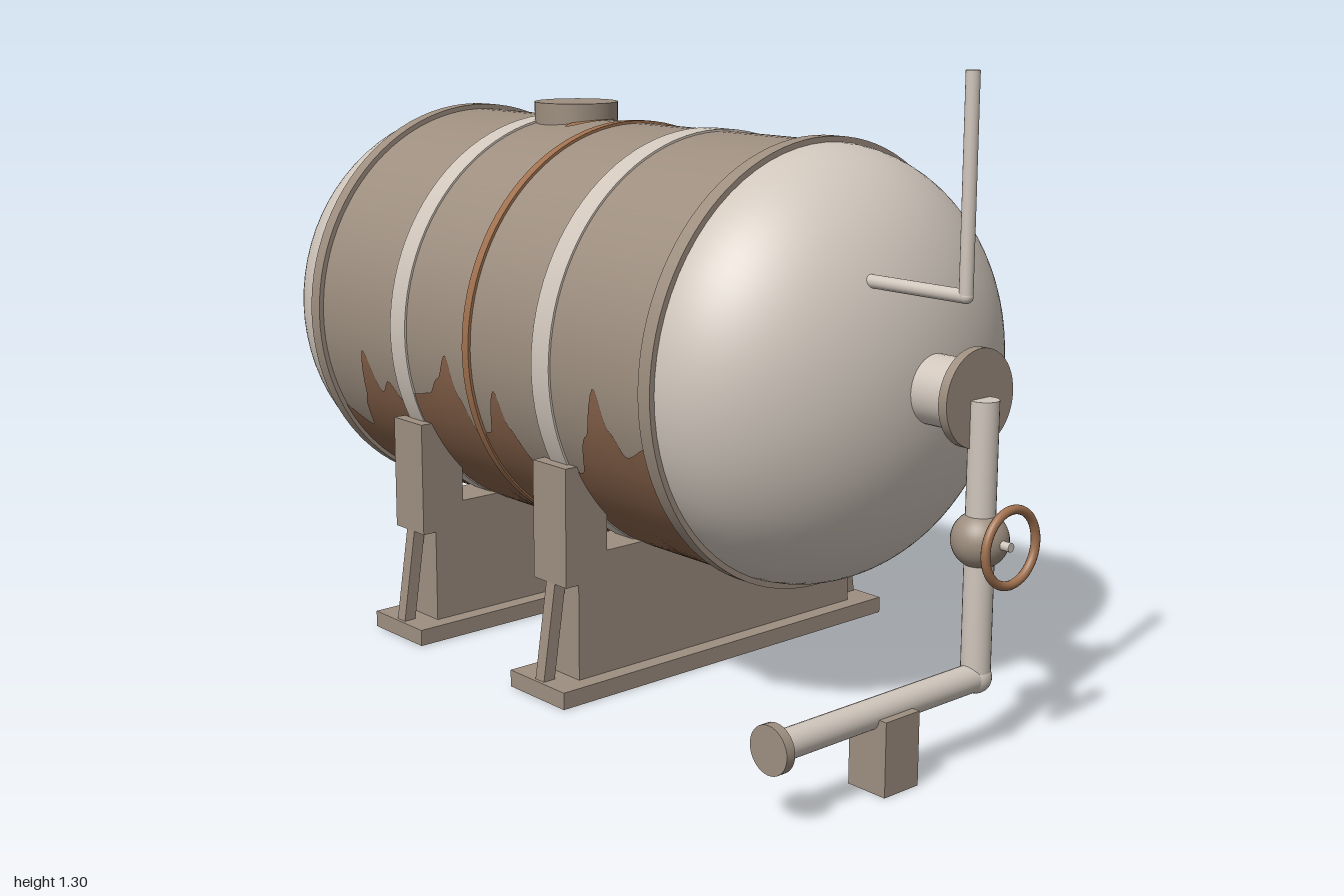
import * as THREE from 'three';

const material = (name, color) => Object.assign(new THREE.MeshStandardMaterial({ color }), { name });
const AXIS_Y = 0.69, AXIS_Z = -0.04, RADIUS = 0.45;

export function createModel() {
  const tan = material('weatheredTan', 0x9d8e7f);
  const pale = material('paleMetal', 0xd0c6bc);
  const rust = material('rustStain', 0x87624a);
  const orange = material('rustOrange', 0xa0714f);
  const model = new THREE.Group();
  model.name = 'storageTank';

  const add = (name, geometry, mat, x = 0, y = 0, z = 0, parent = model) => {
    const mesh = new THREE.Mesh(geometry, mat);
    mesh.name = name;
    mesh.position.set(x, y, z);
    parent.add(mesh);
    return mesh;
  };
  const box = (name, mat, w, h, d, x, y, z, parent) =>
    add(name, new THREE.BoxGeometry(w, h, d), mat, x, y, z, parent);
  // Round bar between two points
  const rod = (name, mat, r, from, to, segments = 28) => {
    const a = new THREE.Vector3(...from), b = new THREE.Vector3(...to);
    const mesh = add(name, new THREE.CylinderGeometry(r, r, a.distanceTo(b), segments), mat);
    mesh.position.copy(a).lerp(b, 0.5);
    mesh.quaternion.setFromUnitVectors(new THREE.Vector3(0, 1, 0), b.sub(a).normalize());
    return mesh;
  };
  const hoop = (name, mat, r, x, width) =>
    rod(name, mat, r, [x - width / 2, AXIS_Y, AXIS_Z], [x + width / 2, AXIS_Y, AXIS_Z], 96);
  // Thin skin on the shell; range(x) gives start and end angle measured from the bottom
  const skin = (name, mat, x0, x1, columns, rows, range) => {
    const pos = [], index = [], r = RADIUS + 0.002;
    for (let i = 0; i <= columns; i++) {
      const x = x0 + (x1 - x0) * i / columns;
      const [t0, t1] = range(x);
      for (let j = 0; j <= rows; j++) {
        const t = t0 + (t1 - t0) * j / rows;
        pos.push(x, AXIS_Y - r * Math.cos(t), AXIS_Z + r * Math.sin(t));
        if (i < columns && j < rows) {
          const a = i * (rows + 1) + j, b = a + rows + 1;
          index.push(a, b, a + 1, b, b + 1, a + 1);
        }
      }
    }
    const geometry = new THREE.BufferGeometry();
    geometry.setAttribute('position', new THREE.Float32BufferAttribute(pos, 3));
    geometry.setIndex(index);
    geometry.computeVertexNormals();
    return add(name, geometry, mat);
  };

  // Tank body and domed ends
  hoop('tankShell', tan, RADIUS, -0.1, 1.16);
  for (const [name, x, turn] of [['rightDome', 0.48, -1], ['leftDome', -0.68, 1]]) {
    const dome = new THREE.SphereGeometry(RADIUS, 72, 28, 0, Math.PI * 2, 0, Math.PI / 2);
    dome.scale(1, 0.32 / RADIUS, 1);
    dome.rotateZ(turn * Math.PI / 2);
    add(name, dome, pale, x, AXIS_Y, AXIS_Z);
    hoop(name + 'Rim', tan, 0.461, x + (turn > 0 ? 0.004 : 0), 0.034);
  }
  hoop('rustBand', orange, 0.456, -0.097, 0.022);

  // Rust creeping up from the underside, same on both flanks
  const edge = [[-0.66, 0.47], [-0.58, 0.435], [-0.54, 0.51], [-0.503, 0.63], [-0.455, 0.54], [-0.42, 0.57],
    [-0.375, 0.53], [-0.31, 0.56], [-0.26, 0.57], [-0.215, 0.61], [-0.178, 0.668], [-0.146, 0.58],
    [-0.108, 0.5], [-0.066, 0.515], [-0.012, 0.617], [0.014, 0.54], [0.062, 0.47], [0.126, 0.45],
    [0.222, 0.48], [0.276, 0.57], [0.319, 0.677], [0.356, 0.595], [0.394, 0.55], [0.464, 0.58]];
  skin('lowerRust', rust, -0.66, 0.463, 160, 44, x => {
    const k = Math.min(Math.max(edge.findIndex(p => p[0] > x), 1), edge.length - 1);
    const [xa, ya] = edge[k - 1], [xb, yb] = edge[k];
    const s = THREE.MathUtils.smoothstep(x, xa, xb);
    const t = Math.acos((AXIS_Y - (ya + (yb - ya) * s)) / RADIUS);
    return [-t, t];
  });
  // Small rust run beside the hatch
  skin('hatchRust', orange, -0.222, -0.178, 16, 16, x => {
    const h = 0.17 * Math.sqrt(Math.max(0, 1 - ((x + 0.2) / 0.022) ** 2));
    return [Math.PI - 0.05 - h, Math.PI - 0.05 + h];
  });

  rod('topHatch', tan, 0.094, [-0.285, 1.1, AXIS_Z], [-0.285, 1.178, AXIS_Z], 48);

  // Saddles with straps
  for (const x of [-0.35, 0.155]) {
    hoop('strap', pale, 0.4545, x, 0.056);
    const saddle = new THREE.Group();
    saddle.name = 'saddle';
    saddle.position.set(x, 0, AXIS_Z);
    model.add(saddle);
    box('basePlate', tan, 0.178, 0.036, 0.94, 0, 0.018, 0, saddle);
    box('web', tan, 0.105, 0.264, 0.8, 0, 0.168, 0, saddle);
    for (const side of [-1, 1]) {
      box('upright', tan, 0.106, 0.25, 0.108, 0, 0.365, side * 0.379, saddle);
      const brace = box('brace', tan, 0.028, 0.214, 0.028, 0, 0.137, side * 0.433, saddle);
      brace.rotation.x = -side * 0.15;
    }
  }

  // Outlet nozzle and drain pipe
  const px = 0.917, low = 0.147;
  rod('nozzle', pale, 0.069, [0.74, AXIS_Y, AXIS_Z], [0.89, AXIS_Y, AXIS_Z], 40);
  rod('nozzleFlange', tan, 0.096, [0.887, AXIS_Y, AXIS_Z], [0.907, AXIS_Y, AXIS_Z], 48);
  rod('downPipe', pale, 0.029, [px, AXIS_Y, AXIS_Z], [px, low, AXIS_Z]);
  add('elbow', new THREE.SphereGeometry(0.032, 28, 18), pale, px, low, AXIS_Z);
  rod('drainPipe', pale, 0.028, [px, low, AXIS_Z], [px, low, 0.5]);
  rod('drainFlange', tan, 0.046, [px, low, 0.493], [px, low, 0.513], 36);
  box('pipeSupport', tan, 0.09, 0.145, 0.09, px, 0.0725, 0.215);

  // Valve and hand wheel
  add('valveBody', new THREE.SphereGeometry(0.056, 36, 24), tan, px, 0.42, AXIS_Z);
  rod('valveStem', pale, 0.009, [px, 0.42, AXIS_Z], [0.992, 0.42, AXIS_Z], 16);
  const wheel = add('handWheel', new THREE.TorusGeometry(0.073, 0.009, 14, 56), orange, 0.991, 0.42, AXIS_Z);
  wheel.rotation.y = Math.PI / 2;

  // Vent pipe
  rod('ventArm', pale, 0.013, [0.72, 0.905, 0.086], [0.97, 0.905, 0.086]);
  add('ventElbow', new THREE.SphereGeometry(0.0135, 20, 14), pale, 0.97, 0.905, 0.086);
  rod('ventStack', pale, 0.013, [0.97, 0.905, 0.086], [0.97, 1.305, 0.086]);

  return model;
}
